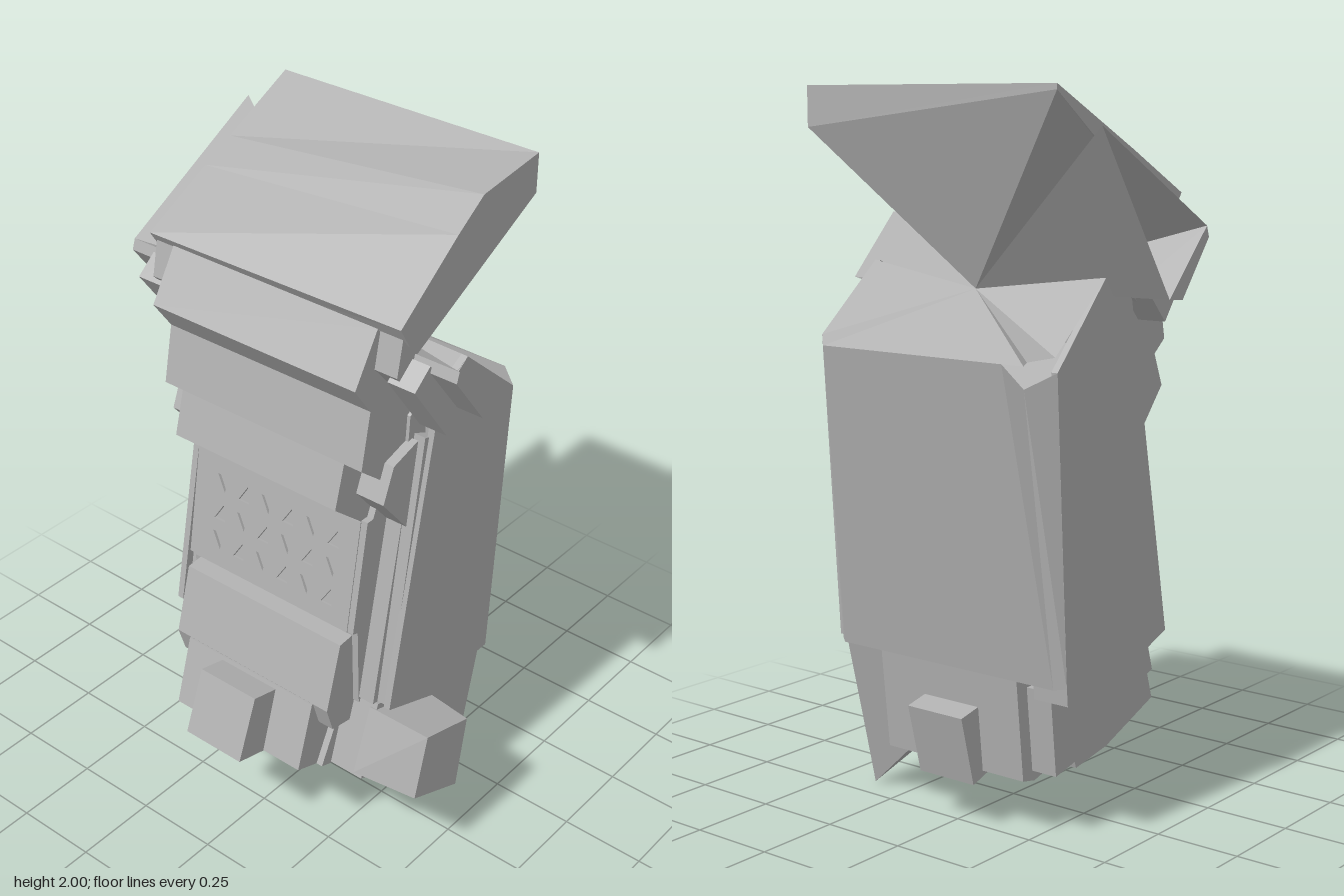
import * as THREE from 'three';

const grey = new THREE.MeshStandardMaterial({ color: 0xb0b0b0, flatShading: true, side: THREE.DoubleSide });
grey.name = 'plain grey';

function addMesh(group, name, geometry) {
  const mesh = new THREE.Mesh(geometry, grey);
  mesh.name = name;
  group.add(mesh);
  return mesh;
}

function fromTriangles(triangles) {
  const g = new THREE.BufferGeometry();
  g.setAttribute('position', new THREE.Float32BufferAttribute(triangles.flat(2), 3));
  g.computeVertexNormals();
  return g;
}

// Solid between an outline at z = zf and a matching outline at z = zb.
function loft(front, zf, zb, back = front) {
  const f = front.map(p => new THREE.Vector2(...p));
  const b = back.map(p => new THREE.Vector2(...p));
  if (THREE.ShapeUtils.isClockWise(f)) { f.reverse(); b.reverse(); }
  const F = f.map(p => [p.x, p.y, zf]), B = b.map(p => [p.x, p.y, zb]);
  const tris = [];
  for (const [i, j, k] of THREE.ShapeUtils.triangulateShape(f, [])) tris.push([F[i], F[j], F[k]]);
  for (const [i, j, k] of THREE.ShapeUtils.triangulateShape(b, [])) tris.push([B[k], B[j], B[i]]);
  F.forEach((p, i) => {
    const j = (i + 1) % F.length;
    tris.push([p, B[i], B[j]], [p, B[j], F[j]]);
  });
  return fromTriangles(tris);
}

export function createModel() {
  const model = new THREE.Group();
  model.name = 'leaningTower';
  const block = (name, pts, zf, zb = -zf, back) => addMesh(model, name, loft(pts, zf, zb, back));

  // Leaning body: core, narrow spine and two side panels
  block('bodyCore', [[-0.03, 1.34], [-0.16, 0.52], [0.04, 0.45], [0.26, 0.47], [0.29, 1.2]], 0.385, -0.35);
  block('spine', [[0, 1.36], [-0.09, 1.2], [-0.14, 1.08], [-0.19, 0.76], [-0.18, 0.5], [0, 0.5]], 0.3);
  block('spineShoulder', [[0.02, 1.45], [-0.05, 1.4], [-0.07, 1.1], [-0.18, 0.52], [0, 0.5]], 0.35);
  const panelSide = [[0.01, 1.46], [-0.17, 0.52], [0.04, 0.44], [0.19, 0.43], [0.2, 0.47], [0.285, 0.47]];
  block('frontPanel', [...panelSide, [0.34, 1.33], [0.12, 1.52]], 0.4, 0.38);
  block('backPanel', [...panelSide, [0.33, 1.29], [0.12, 1.52]], -0.38, -0.4);

  // Outer wall, flaring towards its top edge and chamfered at both ends
  const wall = [
    [[0.34, 1.33, 0.4], [0.285, 0.46, 0.39]], [[0.43, 1.315, 0.31], [0.29, 0.45, 0.38]],
    [[0.43, 1.315, -0.3], [0.29, 0.45, -0.3]], [[0.39, 1.25, -0.34], [0.29, 0.45, -0.36]],
    [[0.33, 1.29, -0.4], [0.285, 0.46, -0.4]],
  ];
  const wallTris = [];
  for (let i = 0; i < wall.length - 1; i++) {
    const [t0, b0] = wall[i], [t1, b1] = wall[i + 1];
    wallTris.push([t0, b0, b1], [t0, b1, t1]);
  }
  addMesh(model, 'outerWall', fromTriangles(wallTris));

  // Sloping head, arched at the front and straight at the back
  block('head', [[0.37, 2], [0.14, 1.97], [0.04, 1.9], [-0.18, 1.73], [-0.12, 1.63], [0.37, 1.89]], 0.41, -0.425,
    [[0.37, 2], [0.14, 1.885], [0.04, 1.835], [-0.18, 1.72], [-0.12, 1.63], [0.37, 1.985]]);

  // Fan of faces that closes the neck between head and body
  const centre = [0.2, 1.47, -0.03];
  const rim = [
    [0.37, 1.89, 0.41], [-0.12, 1.64, 0.41], [-0.12, 1.64, 0.545], [0.05, 1.46, 0.545], [0.07, 1.45, 0.47],
    [0.01, 1.46, 0.41], [0.12, 1.52, 0.4], [0.34, 1.33, 0.4], [0.43, 1.315, 0.31], [0.43, 1.315, -0.37],
    [0.455, 1.33, -0.4], [0.34, 1.33, -0.4], [0.12, 1.52, -0.4], [0.01, 1.46, -0.41], [0.05, 1.46, -0.545],
    [0.35, 1.9, -0.545], [-0.12, 1.64, -0.545], [-0.12, 1.64, -0.42], [0.37, 1.985, -0.425],
  ];
  addMesh(model, 'neckFan', fromTriangles(rim.map((p, i) => [centre, p, rim[(i + 1) % rim.length]])));

  // Stepped bands under the head
  block('headBand', [[-0.18, 1.71], [-0.265, 1.57], [-0.2, 1.48], [-0.03, 1.35], [0.01, 1.46], [-0.12, 1.64]], 0.34);
  block('headBandWide', [[-0.17, 1.7], [-0.19, 1.6], [-0.03, 1.42], [0.02, 1.46], [-0.12, 1.64]], 0.41);
  block('upperPlate', [[-0.2, 1.5], [-0.235, 1.32], [-0.15, 1.25], [-0.03, 1.34], [-0.01, 1.42]], 0.34);
  block('lowerPlate', [[-0.23, 1.32], [-0.265, 1.19], [-0.16, 1.1], [-0.07, 1.06], [-0.03, 1.34]], 0.28);
  // Outline shared by front and back, placed between two distances from the middle
  const pair = (name, pts, outer, inner) => {
    block('front' + name, pts, outer, inner);
    block('back' + name, pts, -inner, -outer);
  };
  pair('Ear', [[-0.12, 1.64], [-0.13, 1.61], [-0.01, 1.455], [0.05, 1.46]], 0.545, 0.4);
  pair('EarStep', [[-0.13, 1.63], [-0.19, 1.58], [-0.05, 1.39], [0.01, 1.455]], 0.465, 0.38);
  pair('Clip', [[-0.14, 1.3], [-0.18, 1.2], [-0.08, 1.08], [-0.04, 1.33]], 0.37, 0.27);

  // Pierced grille in the recess
  const plate = new THREE.Shape([[-0.28, -0.17], [0.28, -0.17], [0.28, 0.17], [-0.28, 0.17]]
    .map(p => new THREE.Vector2(...p)));
  for (let row = 0; row < 3; row++) {
    for (let col = 0; col < 6; col++) {
      const u = -0.2 + col * 0.08, v = -0.09 + row * 0.09, d = (row + col) % 2 ? 0.025 : -0.025;
      plate.holes.push(new THREE.Path([[u - 0.02, v - d], [u + 0.02, v - d], [u + 0.01, v + d]]
        .map(p => new THREE.Vector2(...p))));
    }
  }
  const grille = addMesh(model, 'grille',
    new THREE.ExtrudeGeometry(plate, { depth: 0.008, bevelEnabled: false }).rotateY(-Math.PI / 2));
  grille.position.set(-0.178, 0.925, 0);
  grille.rotation.z = -0.16;
  pair('GrilleFrame', [[-0.155, 1.1], [-0.21, 0.76], [-0.15, 0.74], [-0.08, 1.1]], 0.3, 0.27);

  // Base with a slanted underside
  block('base', [[-0.17, 0.52], [-0.28, 0.3], [-0.1, 0.235], [0.2, 0.15], [0.25, 0.16], [0.28, 0.45], [0.04, 0.45]],
    0.25, -0.23);
  block('baseWide', [[-0.17, 0.52], [-0.24, 0.29], [-0.02, 0.205], [0.12, 0.18], [0.2, 0.44], [0.04, 0.45]], 0.36, -0.31);
  block('rearStep', [[-0.24, 0.73], [-0.295, 0.53], [-0.27, 0.45], [-0.1, 0.42], [-0.12, 0.74]], 0.28);
  block('rearBlock', [[-0.3, 0.53], [-0.36, 0.33], [-0.2, 0.27], [-0.16, 0.51]], 0.23);
  block('rearBox', [[-0.39, 0.54], [-0.46, 0.355], [-0.33, 0.32], [-0.29, 0.515]], 0.1);
  block('frontBox', [[-0.165, 0.49], [-0.215, 0.3], [-0.02, 0.215], [0.02, 0.435]], 0.53, 0.34,
    [[-0.18, 0.505], [-0.25, 0.31], [-0.01, 0.205], [0.04, 0.44]]);
  block('outerBox', [[0.25, 0.35], [0.34, 0.33], [0.29, 0.13], [0.2, 0.16]], 0.1, -0.09);
  block('backCornerBox', [[0.12, 0.42], [0.235, 0.42], [0.21, 0.18], [0.12, 0.2]], -0.22, -0.31);
  block('backCornerTab', [[0.17, 0.47], [0.285, 0.47], [0.28, 0.41], [0.17, 0.41]], -0.29, -0.4);

  // Pointed fin at the foot
  block('footFin', [[0, 0.21], [0.09, 0.12], [0.17, 0], [0.21, 0.17], [0.28, 0.46], [0.04, 0.44]], 0.38, 0.2,
    [[0.02, 0.2], [0.08, 0.19], [0.15, 0.16], [0.2, 0.16], [0.27, 0.45], [0.04, 0.44]]);

  return model;
}
